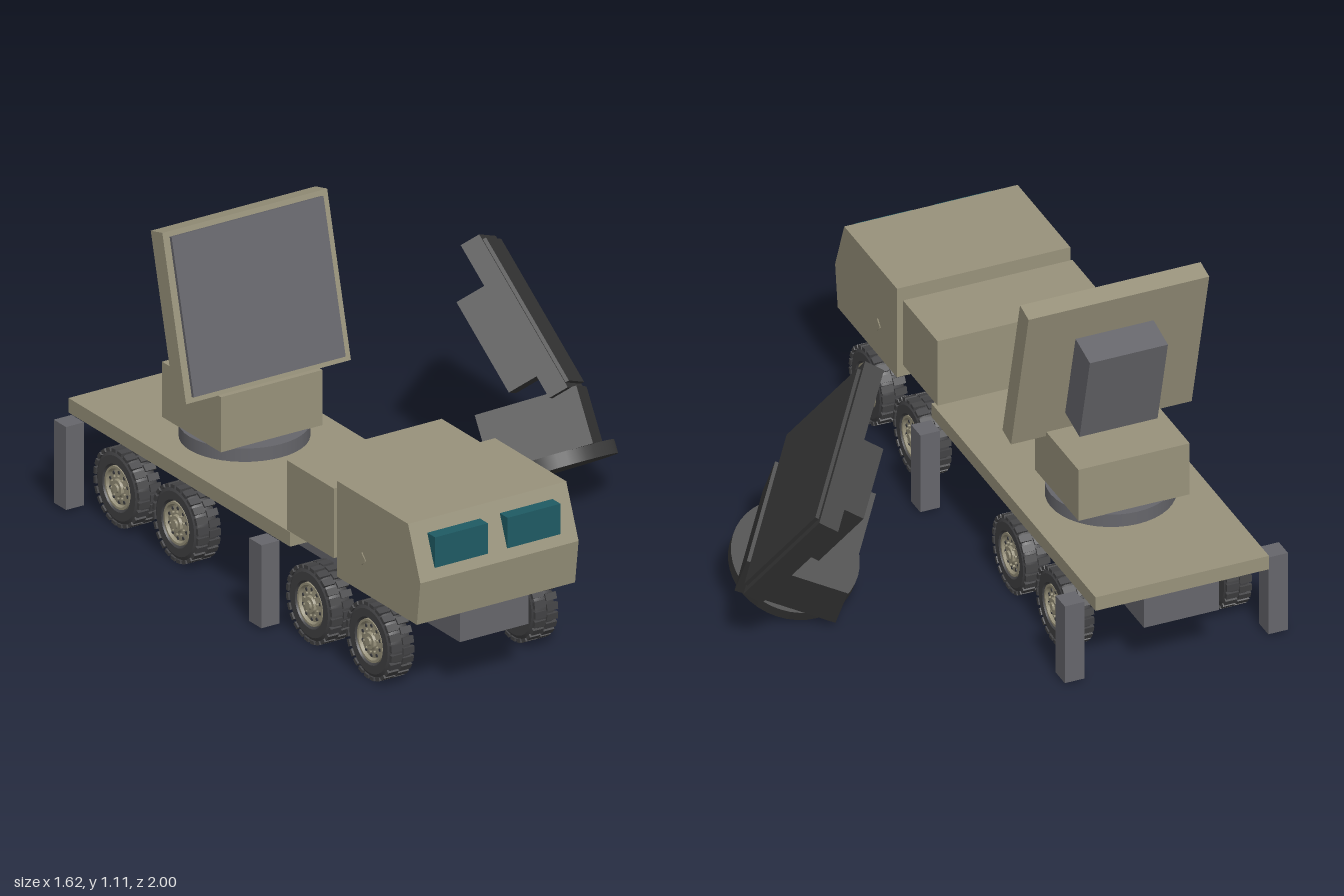
import * as THREE from 'three';
import { mergeGeometries, toCreasedNormals } from 'three/addons/utils/BufferGeometryUtils.js';

const mat = (name, color) => {
  const m = new THREE.MeshStandardMaterial({ color });
  m.name = name;
  return m;
};

export function createModel() {
  const tan = mat('tan paint', 0x98927b);
  const grey = mat('grey metal', 0x66666b);
  const dark = mat('dark metal', 0x3a3a3a);
  const rubber = mat('tyre rubber', 0x424244);
  const glass = mat('teal glass', 0x1f5b64);
  const root = new THREE.Group();
  root.name = 'radarTruck';

  const add = (parent, name, geometry, material, x = 0, y = 0, z = 0) => {
    const m = new THREE.Mesh(geometry, material);
    m.name = name;
    m.position.set(x, y, z);
    parent.add(m);
    return m;
  };
  // box given by its extents on each axis
  const box = (parent, name, material, [x0, x1], [y0, y1], [z0, z1]) =>
    add(parent, name, new THREE.BoxGeometry(x1 - x0, y1 - y0, z1 - z0), material,
      (x0 + x1) / 2, (y0 + y1) / 2, (z0 + z1) / 2);

  // truck body, centred on its own x = 0
  const truck = new THREE.Group();
  truck.name = 'truck';
  truck.position.x = -0.417;
  root.add(truck);
  box(truck, 'chassis', grey, [-0.13, 0.13], [0.175, 0.286], [-0.995, 0.97]);
  box(truck, 'deck', tan, [-0.3, 0.3], [0.285, 0.335], [-1, 0.26]);
  box(truck, 'equipmentBox', tan, [-0.298, 0.288], [0.335, 0.575], [0.24, 0.505]);

  // cab: side profile extruded across the width
  const profile = new THREE.Shape([[0.525, 0.28], [0.98, 0.28], [1, 0.43], [0.93, 0.61], [0.525, 0.61]]
    .map(([z, y]) => new THREE.Vector2(z, y)));
  const cab = new THREE.ExtrudeGeometry(profile, { depth: 0.6, bevelEnabled: false });
  cab.translate(0, 0, -0.3).rotateY(-Math.PI / 2);
  add(truck, 'cab', cab, tan);
  for (const s of [-1, 1]) {
    box(truck, 'windscreen', glass, [s * 0.1375 - 0.1, s * 0.1375 + 0.1], [0.465, 0.57], [0.94, 0.99]);
    const badge = new THREE.CylinderGeometry(0.022, 0.022, 0.006, 4).rotateZ(Math.PI / 2);
    add(truck, 'doorHandle', badge, tan, s * 0.301, 0.395, 0.67);
    for (const z of [0.19, -0.92])
      box(truck, 'outrigger', grey, [s * 0.352 - 0.034, s * 0.352 + 0.034], [0.012, 0.298], [z - 0.035, z + 0.035]);
  }

  // wheel parts, outer face towards +x
  const lathe = (pts) => toCreasedNormals(
    new THREE.LatheGeometry(pts.map(([r, y]) => new THREE.Vector2(r, y)), 36).rotateZ(-Math.PI / 2), 0.5);
  const tyre = lathe([[0, -0.043], [0.108, -0.043], [0.12, -0.036], [0.125, -0.025], [0.125, 0.025],
    [0.12, 0.036], [0.108, 0.043], [0.08, 0.043], [0.072, 0.028], [0, 0.028]]);
  const hub = lathe([[0.073, 0.028], [0.072, 0.04], [0.064, 0.04], [0.058, 0.031], [0.03, 0.034],
    [0.026, 0.042], [0.015, 0.042], [0.012, 0.048], [0, 0.048]]);
  const ring = (count, make) => mergeGeometries(Array.from({ length: count },
    (_, i) => make(i).rotateX((i * 2 * Math.PI) / count)));
  const tread = ring(48, (i) => new THREE.BoxGeometry(0.041, 0.012, 0.023)
    .translate(i % 2 ? 0.0225 : -0.0225, 0.125, 0));
  const bolts = ring(10, () => new THREE.CylinderGeometry(0.004, 0.004, 0.008, 6)
    .rotateZ(Math.PI / 2).translate(0.036, 0.038, 0));
  const holes = ring(10, () => new THREE.CylinderGeometry(0.006, 0.006, 0.006, 10)
    .rotateZ(Math.PI / 2).translate(0.031, 0.051, 0));
  for (const s of [-1, 1]) for (const z of [0.73, 0.39, -0.37, -0.705]) {
    const wheel = new THREE.Group();
    wheel.name = 'wheel';
    wheel.position.set(s * 0.2725, 0.136, z);
    if (s < 0) wheel.rotation.y = Math.PI;
    add(wheel, 'tyre', tyre, rubber);
    add(wheel, 'tread', tread, rubber);
    add(wheel, 'hub', hub, tan);
    add(wheel, 'hubBolts', bolts, tan);
    add(wheel, 'hubHoles', holes, rubber);
    truck.add(wheel);
  }

  // radar: turntable, pedestal and a panel leaning back
  const radar = (name, body, trim) => {
    const g = new THREE.Group();
    g.name = name;
    add(g, 'turntable', new THREE.CylinderGeometry(0.208, 0.208, 0.046, 40), trim, 0, 0.023, 0);
    box(g, 'pedestal', body, [-0.1925, 0.1925], [0.045, 0.235], [-0.18, 0.155]);
    // panel group starts at the top front edge of the panel
    const panel = new THREE.Group();
    panel.name = 'panel';
    panel.position.set(0, 0.775, 0.002);
    panel.rotation.x = -THREE.MathUtils.degToRad(14);
    box(panel, 'panelFrame', body, [-0.3125, 0.3125], [-0.558, 0], [-0.068, 0]);
    box(panel, 'antennaFace', trim, [-0.288, 0.288], [-0.54, -0.018], [-0.002, 0.012]);
    box(panel, 'rearHousing', trim, [-0.135, 0.135], [-0.47, -0.14], [-0.182, -0.066]);
    g.add(panel);
    root.add(g);
    return g;
  };
  radar('deckRadar', tan, grey).position.set(-0.417, 0.335, -0.45);
  // second radar, tipped over beside the truck
  const tipped = radar('tippedRadar', dark, dark);
  tipped.position.set(0.524, 0.111, -0.095);
  tipped.rotation.set(-Math.PI / 6, THREE.MathUtils.degToRad(55), 0);

  return root;
}
